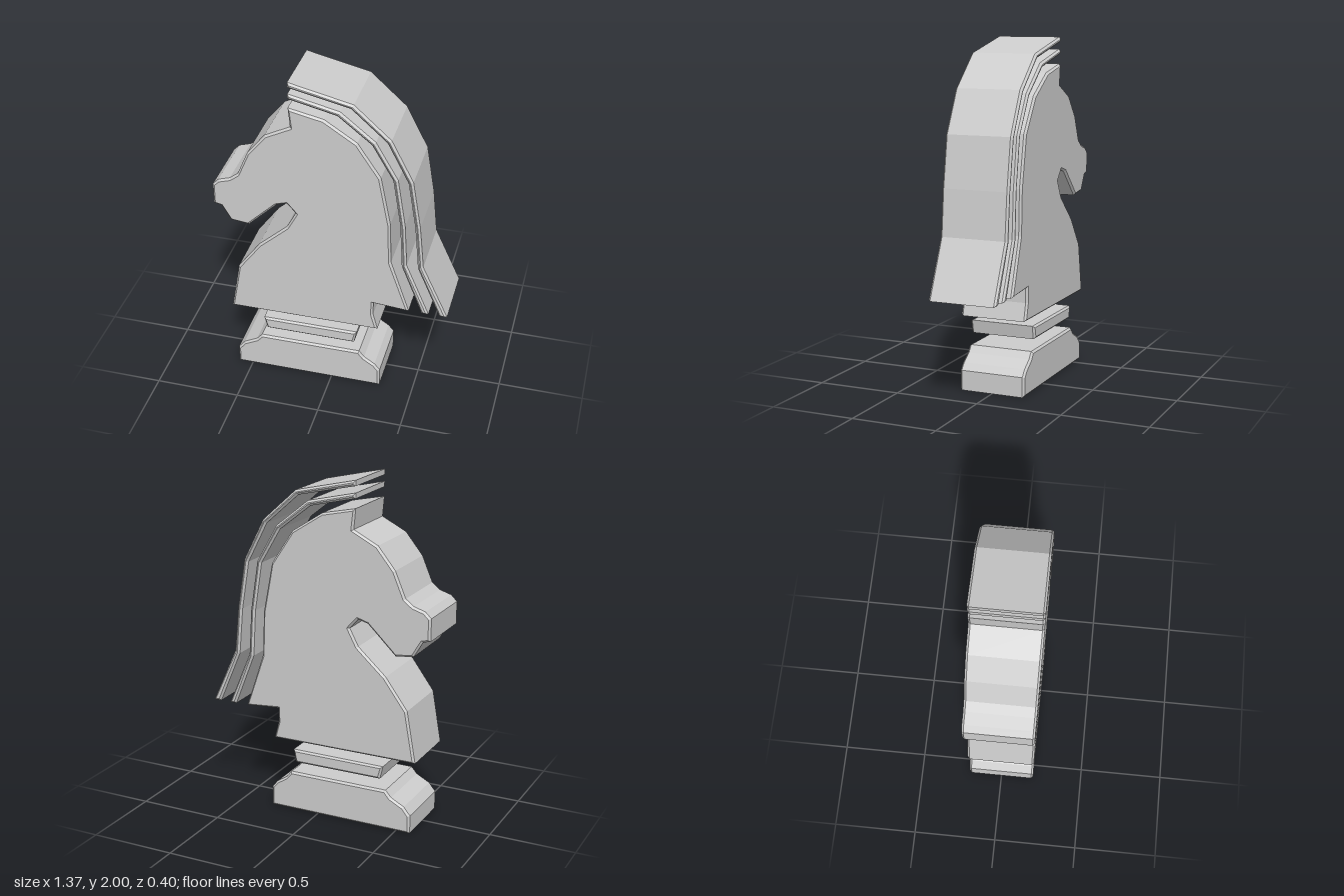
import * as THREE from 'three';

const DEPTH = 0.4;
const BEVEL = 0.012;

// Extrudes an outline to the shared thickness; the bevel stays inside the outline.
function slab(name, points, material) {
  const shape = new THREE.Shape(points.map(([x, y]) => new THREE.Vector2(x, y)));
  const geometry = new THREE.ExtrudeGeometry(shape, {
    depth: DEPTH - 2 * BEVEL,
    bevelEnabled: true,
    bevelThickness: BEVEL,
    bevelSize: BEVEL,
    bevelOffset: -BEVEL,
    bevelSegments: 1,
  });
  geometry.translate(0, 0, -DEPTH / 2 + BEVEL);
  const mesh = new THREE.Mesh(geometry, material);
  mesh.name = name;
  return mesh;
}

export function createModel() {
  const grey = new THREE.MeshStandardMaterial({ color: 0xcccccc });
  grey.name = 'light grey';

  // Horse head and neck, clockwise from the forelock
  const head = [
    [-0.235, 1.846], [-0.034, 1.804], [0.15, 1.686], [0.283, 1.487],
    [0.341, 1.191], [0.351, 0.932], [0.462, 0.605], [0.253, 0.62],
    [0.253, 0.536], [0.28, 0.433], [-0.61, 0.433], [-0.557, 0.737],
    [-0.425, 0.917], [-0.256, 1.07], [-0.203, 1.17], [-0.254, 1.228],
    [-0.314, 1.21], [-0.483, 1.046], [-0.589, 1.059], [-0.642, 1.149],
    [-0.687, 1.16], [-0.687, 1.289], [-0.652, 1.323], [-0.584, 1.344],
    [-0.536, 1.381], [-0.473, 1.529], [-0.37, 1.656], [-0.224, 1.73],
  ];

  // Two mane strips: outer edge down, inner edge back up
  const innerMane = [
    [-0.235, 1.931], [0.055, 1.864], [0.251, 1.707], [0.378, 1.487],
    [0.425, 1.191], [0.441, 0.927], [0.578, 0.603],
    [0.538, 0.603], [0.413, 0.917], [0.397, 1.191], [0.351, 1.48],
    [0.23, 1.686], [0.04, 1.836], [-0.235, 1.9],
  ];
  const outerMane = [
    [-0.235, 2], [0.129, 1.917], [0.337, 1.73], [0.462, 1.487],
    [0.51, 1.196], [0.536, 0.932], [0.687, 0.603],
    [0.642, 0.603], [0.506, 0.919], [0.482, 1.191], [0.435, 1.477],
    [0.314, 1.712], [0.114, 1.89], [-0.235, 1.968],
  ];

  // Tapered collar between head and base
  const collar = [[-0.415, 0.378], [0.156, 0.38], [0.14, 0.301], [-0.396, 0.301]];

  // Stepped base
  const base = [
    [-0.586, 0], [0.3, 0], [0.3, 0.117], [0.267, 0.156], [0.203, 0.198],
    [0.172, 0.237], [-0.433, 0.237], [-0.467, 0.198], [-0.547, 0.156], [-0.586, 0.108],
  ];

  const model = new THREE.Group();
  model.name = 'chessKnight';
  const parts = { head, innerMane, outerMane, collar, base };
  for (const [name, points] of Object.entries(parts)) model.add(slab(name, points, grey));
  return model;
}
